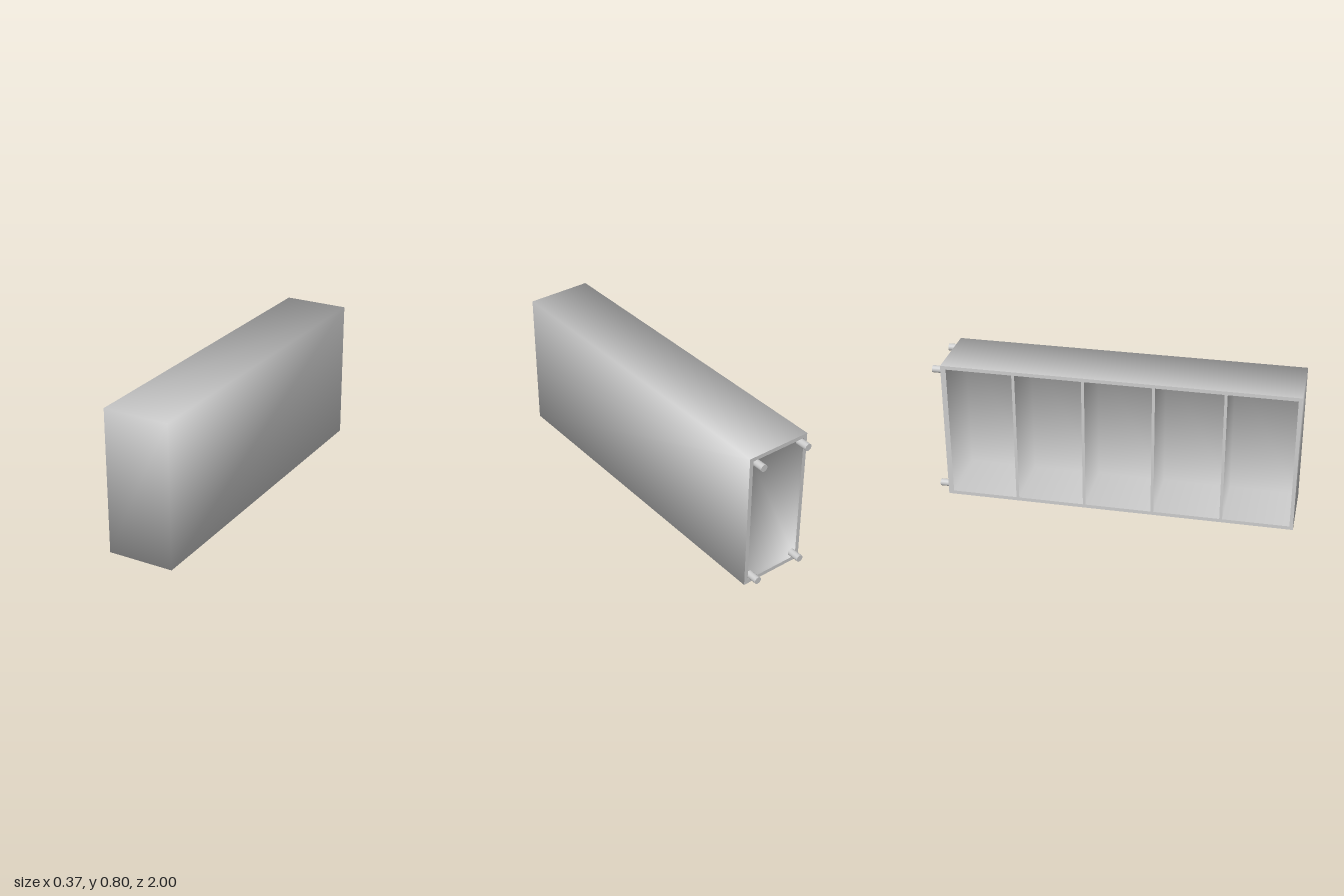
import * as THREE from 'three';

const W = 0.37, H = 0.8, Z0 = -0.945, Z1 = 1; // case extents
const WALL = 0.02, SHELVES = 5;
const mat = new THREE.MeshStandardMaterial({ color: 0xcccccc });

// Box with some faces left out (0 +x, 1 -x, 2 +y, 3 -y, 4 +z, 5 -z) and softly blended corner normals.
// An inward box is a cavity whose normals lean out of its single open face.
function openBox(w, h, d, open, inward = false) {
  const g = new THREE.BoxGeometry(w, h, d);
  let idx = Array.from(g.index.array).filter((_, i) => !open.includes(Math.floor(i / 6)));
  if (inward) idx = idx.map((_, i) => idx[i - (i % 3) + [0, 2, 1][i % 3]]);
  g.setIndex(idx);
  const p = g.attributes.position, n = g.attributes.normal, v = new THREE.Vector3();
  for (let i = 0; i < p.count; i++) {
    v.fromBufferAttribute(p, i);
    v.set(Math.sign(v.x), Math.sign(v.y), Math.sign(v.z));
    if (inward) {
      v.negate();
      const axis = Math.floor(open[0] / 2);
      v.setComponent(axis, open[0] % 2 ? -1 : 1);
    }
    v.normalize();
    n.setXYZ(i, v.x, v.y, v.z);
  }
  return g;
}

function rect(target, x0, y0, x1, y1) {
  target.moveTo(x0, y0);
  target.lineTo(x1, y0);
  target.lineTo(x1, y1);
  target.lineTo(x0, y1);
  target.closePath();
  return target;
}

export function createModel() {
  const root = new THREE.Group();
  root.name = 'bookcase';
  const add = (name, geo, x, y, z) => {
    const m = new THREE.Mesh(geo, mat);
    m.name = name;
    m.position.set(x, y, z);
    root.add(m);
    return m;
  };

  // Outer case, open on the shelf side and at the foot end
  add('outerCase', openBox(W, H, Z1 - Z0, [1, 5]), 0, H / 2, (Z0 + Z1) / 2);

  // Shelf compartments and the thin edges between them
  const edges = rect(new THREE.Shape(), Z0, 0, Z1, H);
  const start = Z0 + 0.03, end = Z1 - WALL;
  const board = 0.016;
  const cell = (end - start - board * (SHELVES - 1)) / SHELVES;
  for (let i = 0; i < SHELVES; i++) {
    const a = start + i * (cell + board);
    edges.holes.push(rect(new THREE.Path(), a, WALL, a + cell, H - WALL));
    add('compartment', openBox(W - WALL, H - 2 * WALL, cell, [1], true), -WALL / 2, H / 2, a + cell / 2);
  }
  add('shelfEdges', new THREE.ShapeGeometry(edges), -W / 2, 0, 0).rotation.y = -Math.PI / 2;

  // Shallow recess at the foot end with its rim
  const rim = 0.022, depth = 0.015;
  const rimShape = rect(new THREE.Shape(), -W / 2, 0, W / 2, H);
  rimShape.holes.push(rect(new THREE.Path(), -W / 2 + rim, rim, W / 2 - rim, H - rim));
  add('baseRim', new THREE.ShapeGeometry(rimShape), 0, 0, Z0).rotation.y = Math.PI;
  add('baseRecess', openBox(W - 2 * rim, H - 2 * rim, depth, [5], true), 0, H / 2, Z0 + depth / 2);

  // Four round feet
  const footLength = Z0 + depth + 1;
  const footGeo = new THREE.CylinderGeometry(0.02, 0.02, footLength, 20).rotateX(Math.PI / 2);
  for (const x of [-0.146, 0.141])
    for (const y of [0.045, 0.76]) add('foot', footGeo, x, y, -1 + footLength / 2);

  return root;
}
